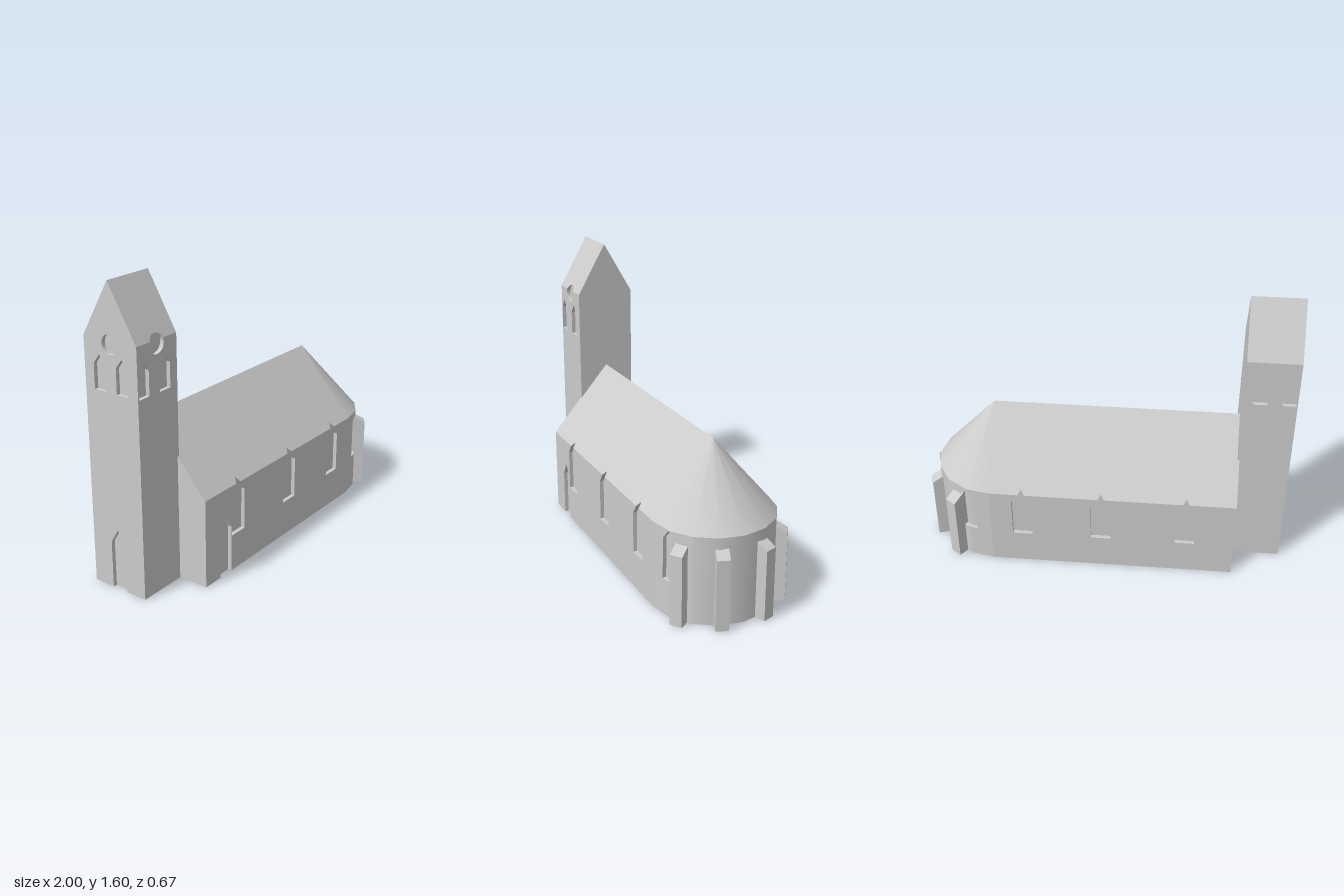
import * as THREE from 'three';

const D = 0.022; // depth of the window and door recesses
const R = 0.335, EAVE = 0.48, RIDGE = 0.865, APSE_X = 0.62;
const stone = new THREE.MeshStandardMaterial({ color: 0xcccccc });
stone.name = 'stone';

const shapeOf = (pts, holes = []) => {
  const s = new THREE.Shape(pts.map(p => new THREE.Vector2(...p)));
  for (const h of holes) s.holes.push(new THREE.Path(h.map(p => new THREE.Vector2(...p))));
  return s;
};
const extrude = (pts, depth, holes) =>
  new THREE.ExtrudeGeometry(shapeOf(pts, holes), { depth, bevelEnabled: false });

// Pointed opening, clockwise from its bottom left corner
const lancet = (c, hw, y0, ys, yt) => [[c - hw, y0], [c - hw, ys], [c, yt], [c + hw, ys], [c + hw, y0]];
const arc = (c, y, r, a0, a1, n) => Array.from({ length: n + 1 }, (_, i) => {
  const a = a0 + (a1 - a0) * i / n;
  return [c + r * Math.cos(a), y + r * Math.sin(a)];
});

// Openings that cut through the eave, split into the parts below and above it
function eaveLancet(c, hw, y0, ys, yt, eave) {
  const t = hw * (yt - eave) / (yt - ys);
  return {
    below: [[c + t, eave], [c + hw, ys], [c + hw, y0], [c - hw, y0], [c - hw, ys], [c - t, eave]],
    above: [[c - t, eave], [c, yt], [c + t, eave]],
  };
}
function eaveOculus(c, y, r, eave) {
  const a = Math.asin((eave - y) / r);
  return { below: arc(c, y, r, a, -Math.PI - a, 16), above: arc(c, y, r, Math.PI - a, a, 10) };
}

export function createModel() {
  const model = new THREE.Group();
  model.name = 'church';
  const add = (name, geo, x = 0, y = 0, z = 0, ry = 0, parent = model) => {
    const m = new THREE.Mesh(geo, stone);
    m.name = name;
    m.position.set(x, y, z);
    m.rotation.y = ry;
    parent.add(m);
    return m;
  };

  // Long wall with recesses, plus the strip of roof directly above the eave
  function sideWall(name, s, xa, xb, half, eave, top, { doors = [], holes = [], notches = [] }) {
    const [x0, x1] = s > 0 ? [xa, xb] : [-xb, -xa];
    const g = new THREE.Group();
    g.name = name;
    g.position.z = s * (half - D);
    g.rotation.y = s > 0 ? 0 : Math.PI;
    model.add(g);
    const byX = (a, b) => a.above[0][0] - b.above[0][0];
    const rising = [...notches].sort(byX), falling = [...rising].reverse();
    add('wall', extrude([[x0, 0], ...doors.flat(), [x1, 0], [x1, eave],
      ...falling.flatMap(n => n.below), [x0, eave]], D, holes), 0, 0, 0, 0, g);
    const strip = extrude([[x0, eave], ...rising.flatMap(n => n.above), [x1, eave], [x1, top], [x0, top]], D);
    const p = strip.attributes.position;
    for (let i = 0; i < p.count; i++) {
      if (p.getZ(i) > D / 2) p.setZ(i, D * (1 - Math.max(0, p.getY(i) - eave) / (top - eave)));
    }
    strip.computeVertexNormals();
    add('roofEdge', strip, 0, 0, 0, 0, g);
  }

  // Gabled core set in by the recess depth, running along x
  const gable = (half, top, ridge) => [[-half, 0], [half, 0], [half, top], [0, ridge], [-half, top]];
  const core = (name, x0, x1, pts) => add(name, extrude(pts, x1 - x0), x1, 0, 0, -Math.PI / 2);

  // Nave
  const naveTop = EAVE + D * (RIDGE - EAVE) / R;
  core('naveCore', -0.73, APSE_X, gable(R - D, naveTop, RIDGE));
  for (const s of [1, -1]) {
    sideWall(s > 0 ? 'naveFrontWall' : 'naveBackWall', s, -0.73, APSE_X, R, EAVE, naveTop, {
      doors: s > 0 ? [lancet(-0.565, 0.046, 0, 0.255, 0.33)] : [],
      notches: [-0.46, 0.005, 0.443].map(c => eaveLancet(s * c, 0.055, 0.2, 0.425, 0.505, EAVE)),
    });
  }

  // Tower
  const TH = 0.165, TE = 1.31, TR = 1.595;
  const towerTop = TE + D * (TR - TE) / TH;
  const bell = c => lancet(c, 0.037, 1.05, 1.18, 1.23);
  core('towerCore', -1 + D, -0.72, gable(TH - D, towerTop, TR));
  for (const s of [1, -1]) {
    sideWall(s > 0 ? 'towerFrontWall' : 'towerBackWall', s, -1, -0.72, TH, TE, towerTop, {
      holes: [bell(s * -0.958), bell(s * -0.808)],
      notches: s > 0 ? [eaveOculus(-0.86, 1.29, 0.05, TE)] : [],
    });
  }
  const [bl, ...rest] = gable(TH - D, towerTop, TR);
  add('towerEndWall', extrude([bl, ...lancet(0, 0.046, 0, 0.255, 0.33), ...rest], D,
    [bell(-0.07), bell(0.07), arc(0, 1.29, 0.05, 0, Math.PI * 1.9, 19)]), -1 + D, 0, 0, -Math.PI / 2);

  // Apse: inner core, rounded east wall and half-cone roof
  const step = Math.PI / 8, apothem = R * Math.cos(step / 2), h = R * Math.sin(step / 2);
  add('apseCore', new THREE.CylinderGeometry((apothem - D) / Math.cos(step / 2),
    (apothem - D) / Math.cos(step / 2), EAVE, 8, 1, false, 0, Math.PI), APSE_X, EAVE / 2, 0);
  add('apseWall', new THREE.CylinderGeometry(R, R, EAVE, 4, 1, false, Math.PI / 4, Math.PI / 2),
    APSE_X, EAVE / 2, 0);
  add('apseRoof', new THREE.ConeGeometry(R, RIDGE - EAVE, 8, 1, true, 0, Math.PI),
    APSE_X, (RIDGE + EAVE) / 2, 0);

  // Apse facets, each holding half of a window that folds round the corner
  for (const s of [1, -1]) {
    for (const k of [1, -1]) {
      const m = s * (3 * step + k * step / 2);
      const pts = [[-h, 0], [h, 0], [h, 0.2], [h - 0.047, 0.2], [h - 0.047, 0.425], [h, 0.478], [h, EAVE], [-h, EAVE]]
        .map(([x, y]) => [x * k * s, y]);
      add('apseWindowWall', extrude(pts, D), APSE_X + (apothem - D) * Math.cos(m), 0,
        (apothem - D) * Math.sin(m), Math.PI / 2 - m);
    }
    // Buttresses with sloping tops
    for (const deg of [20, 55]) {
      const geo = extrude([[0.3, 0], [0.388, 0], [0.388, 0.388], [0.3, 0.437]], 0.068);
      geo.translate(0, 0, -0.034);
      add('buttress', geo, APSE_X, 0, 0, -s * deg * Math.PI / 180);
    }
  }
  return model;
}
